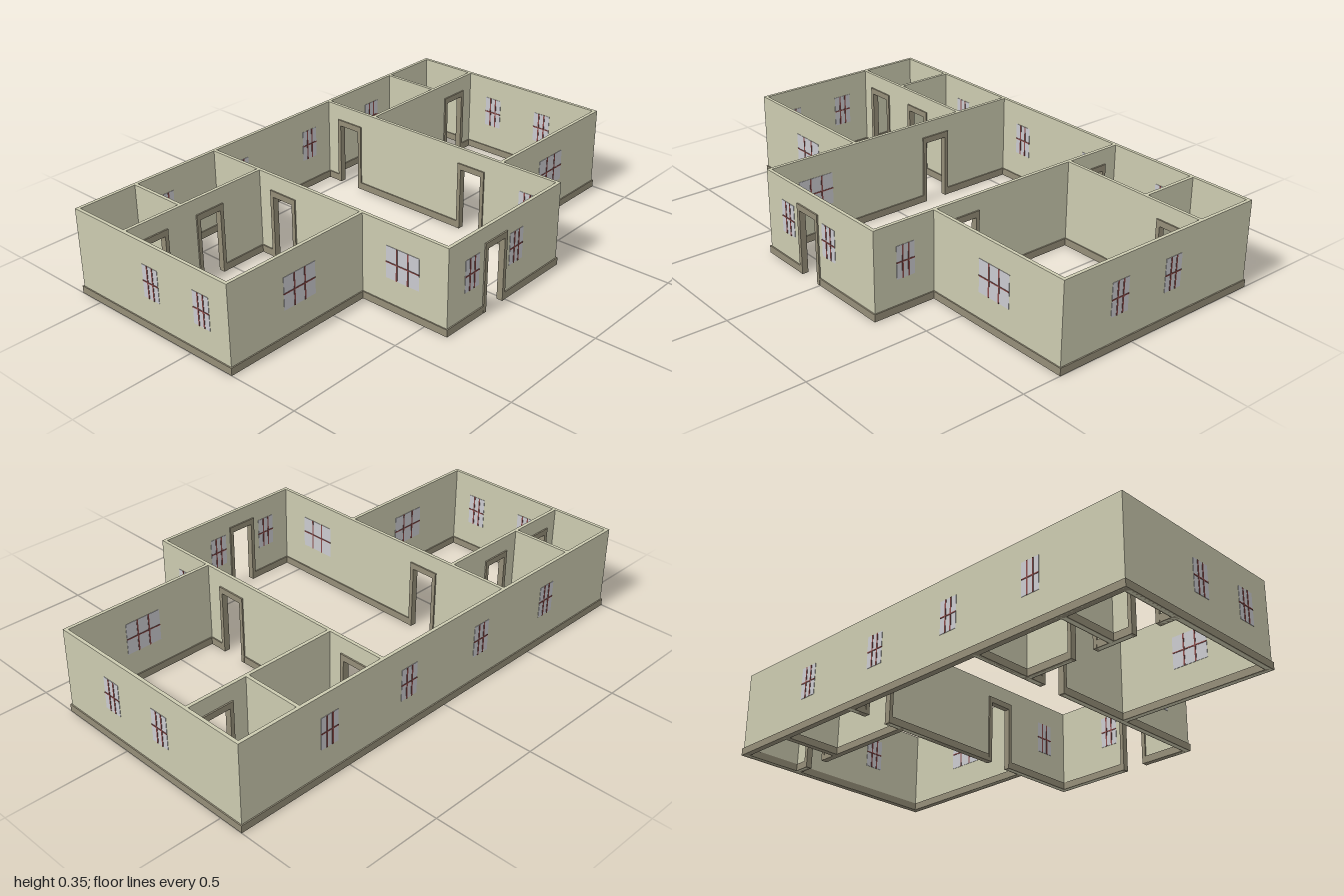
import * as THREE from 'three';

const mat = (name, color) => {
  const m = new THREE.MeshStandardMaterial({ color });
  m.name = name;
  return m;
};

const WALL_H = 0.355, WALL_T = 0.014;
const SKIRT_H = 0.03, SKIRT_T = 0.024;
const DOOR_W = 0.13, DOOR_H = 0.29, JAMB = 0.016, LINTEL = 0.025;
const WIN_H = 0.132, WIN_Y = 0.199, SMALL = 0.08, LARGE = 0.155;

export function createModel() {
  const plaster = mat('cream plaster', 0xcccbb0);
  const trim = mat('taupe trim', 0x958e78);
  const glass = mat('pale glass', 0xcacacf);
  const bar = mat('red brown bar', 0x8a4a48);

  const model = new THREE.Group();
  model.name = 'floorPlanHouse';

  const add = (parent, name, geometry, material, x = 0, y = 0) => {
    const mesh = new THREE.Mesh(geometry, material);
    mesh.name = name;
    mesh.position.set(x, y, 0);
    parent.add(mesh);
  };

  // Flat outline given thickness, centred on the wall line
  const slab = (points, depth) => {
    const shape = new THREE.Shape(points.map(([x, y]) => new THREE.Vector2(x, y)));
    return new THREE.ExtrudeGeometry(shape, { depth, bevelEnabled: false }).translate(0, 0, -depth / 2);
  };

  // Three-by-two pane window, showing on both wall faces
  function addWindow(wall, u, width) {
    const win = new THREE.Group();
    win.name = 'window';
    win.position.set(u, WIN_Y, 0);
    add(win, 'windowGlass', new THREE.BoxGeometry(width, WIN_H, WALL_T + 0.003), glass);
    for (const s of [-1, 1]) {
      add(win, 'uprightBar', new THREE.BoxGeometry(0.006, WIN_H, WALL_T + 0.006), bar, s * width / 6);
    }
    add(win, 'crossBar', new THREE.BoxGeometry(width, 0.005, WALL_T + 0.006), bar);
    wall.add(win);
  }

  // Door surround: two jambs and a lintel around the open doorway
  function addDoorFrame(wall, u) {
    const o = DOOR_W / 2, i = o - JAMB, t = DOOR_H - LINTEL;
    const outline = [[-o, 0], [-o, DOOR_H], [o, DOOR_H], [o, 0], [i, 0], [i, t], [-i, t], [-i, 0]];
    add(wall, 'doorFrame', slab(outline, SKIRT_T + 0.002), trim, u);
  }

  // One wall along x or z, with doorways cut out and skirting between them
  function addWall({ name, axis, at, from, to, doors = [], windows = [] }) {
    const wall = new THREE.Group();
    wall.name = name;
    const half = WALL_T / 2, cut = DOOR_W / 2 - 0.004, cutH = DOOR_H - 0.004;
    const outline = [[from - half, 0]];
    for (const d of doors) outline.push([d - cut, 0], [d - cut, cutH], [d + cut, cutH], [d + cut, 0]);
    outline.push([to + half, 0], [to + half, WALL_H], [from - half, WALL_H]);
    add(wall, 'wallPanel', slab(outline, WALL_T), plaster);

    let start = from - SKIRT_T / 2;
    for (const d of [...doors, null]) {
      const end = d === null ? to + SKIRT_T / 2 : d - cut;
      add(wall, 'skirting', new THREE.BoxGeometry(end - start, SKIRT_H, SKIRT_T), trim,
        (start + end) / 2, SKIRT_H / 2);
      start = d + cut;
    }
    doors.forEach((d) => addDoorFrame(wall, d));
    windows.forEach(([u, w]) => addWindow(wall, u, w));

    if (axis === 'x') wall.position.z = at;
    else {
      wall.position.x = at;
      wall.rotation.y = -Math.PI / 2;
    }
    model.add(wall);
  }

  const X = 0.988, Z = 0.592, HALL = 0.329, ROOM = -0.335, CLOSET = 0.725;
  const LEFT_FRONT = 0.326, RIGHT_FRONT = 0.194;
  const sideWindows = [[-0.196, SMALL], [0.066, SMALL]];

  // Outer walls
  addWall({ name: 'backWall', axis: 'x', at: -Z, from: -X, to: X,
    windows: [-0.594, -0.198, 0.198, 0.594].map((x) => [x, SMALL]) });
  addWall({ name: 'frontWall', axis: 'x', at: Z, from: -HALL, to: HALL,
    doors: [-0.066], windows: [[-0.2, SMALL], [0.062, SMALL]] });
  addWall({ name: 'rightSideWall', axis: 'z', at: -X, from: -Z, to: RIGHT_FRONT, windows: sideWindows });
  addWall({ name: 'leftSideWall', axis: 'z', at: X, from: -Z, to: LEFT_FRONT, windows: sideWindows });
  addWall({ name: 'rightRoomFrontWall', axis: 'x', at: RIGHT_FRONT, from: -X, to: -HALL,
    windows: [[-0.662, LARGE]] });
  addWall({ name: 'leftRoomFrontWall', axis: 'x', at: LEFT_FRONT, from: HALL, to: X,
    windows: [[0.662, LARGE]] });

  // Long walls of the central hall
  addWall({ name: 'rightHallWall', axis: 'z', at: -HALL, from: -Z, to: Z,
    doors: [-0.203], windows: [[0.392, LARGE]] });
  addWall({ name: 'leftHallWall', axis: 'z', at: HALL, from: -Z, to: Z,
    doors: [-0.463, 0.188], windows: [[0.461, SMALL]] });

  // Partitions of the small back rooms
  addWall({ name: 'rightPartition', axis: 'x', at: ROOM, from: -X, to: -HALL, doors: [-0.865, -0.598] });
  addWall({ name: 'leftPartition', axis: 'x', at: ROOM, from: HALL, to: X, doors: [0.86] });
  for (const s of [-1, 1]) {
    addWall({ name: 'backRoomDivider', axis: 'z', at: s * CLOSET, from: -Z, to: ROOM });
  }

  return model;
}
